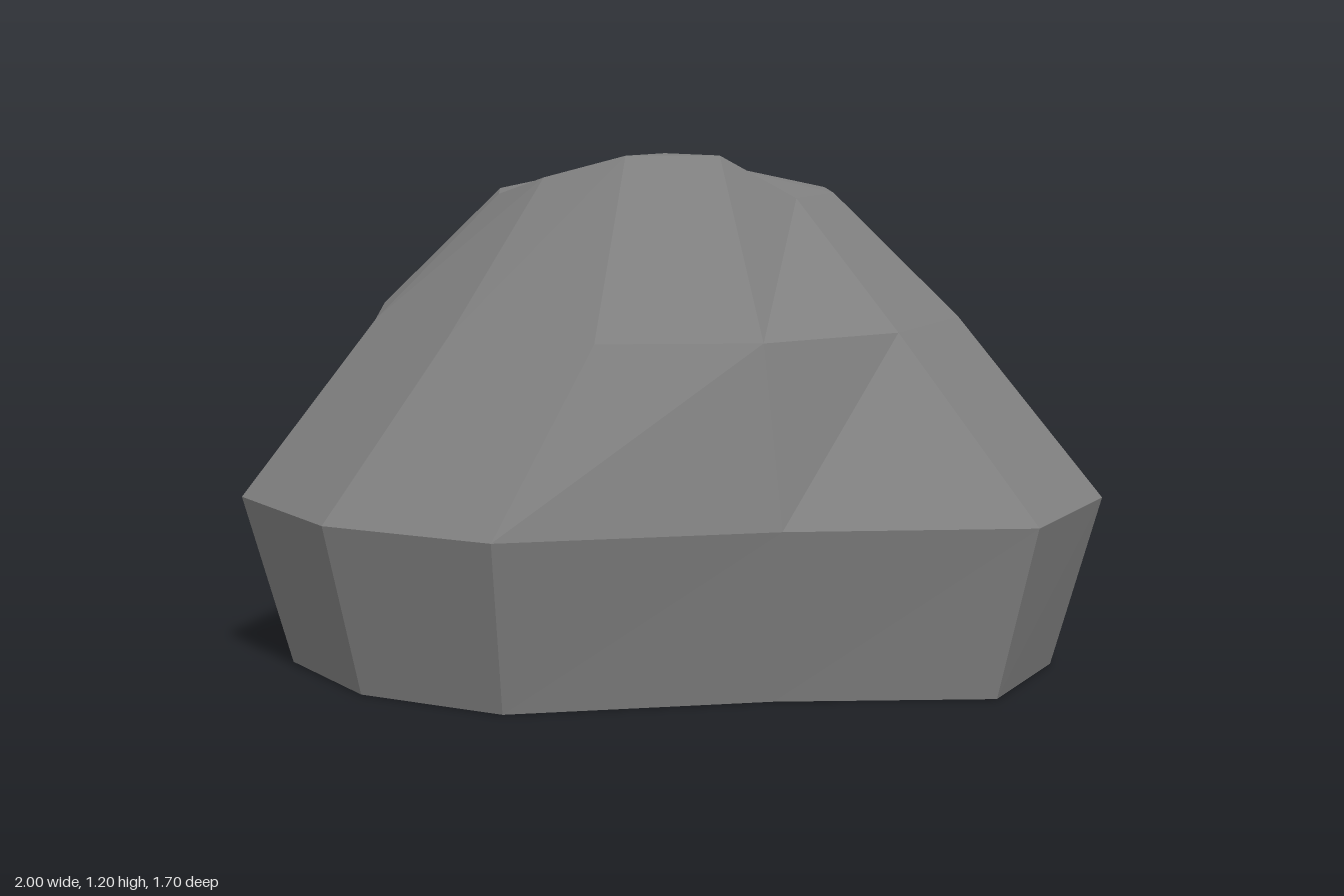
import * as THREE from 'three';

const SIDES = 12;
const CENTRE_Z = -0.05;

// Regular ring of corners, starting just left of the front and running round by the model's left.
function regularRing(radius, heights) {
  return heights.map((y, i) => {
    const a = ((i - 0.5) / SIDES) * Math.PI * 2;
    return [Math.sin(a) * radius, y, CENTRE_Z + Math.cos(a) * radius];
  });
}

const atHeight = (y, points) => points.map(([x, z]) => [x, y, z]);

export function createModel() {
  const group = new THREE.Group();
  group.name = 'boulder';
  const stone = new THREE.MeshStandardMaterial({ color: 0x808080 });
  stone.name = 'stone grey';

  const rings = [
    // foot
    atHeight(0, [[-0.39, 0.745], [0.21, 0.66], [0.71, 0.66], [0.89, 0.34], [0.71, -0.24], [0.7, -0.555],
      [0.37, -0.74], [-0.37, -0.74], [-0.7, -0.555], [-0.71, -0.24], [-0.89, 0.24], [-0.71, 0.555]]),
    // widest, uneven belt
    atHeight(0.4, [[-0.41, 0.845], [0.22, 0.745], [0.785, 0.73], [1, 0.36], [0.8, -0.26], [0.785, -0.64],
      [0.41, -0.85], [-0.41, -0.85], [-0.785, -0.64], [-0.8, -0.26], [-1, 0.26], [-0.785, 0.63]]),
    // shoulder
    regularRing(0.716, Array(SIDES).fill(0.8)),
    // crown, raised at the front and sunk at the back
    regularRing(0.414, [1.195, 1.195, 1.09, 1.09, 1.09, 1.09, 1.0, 1.0, 1.09, 1.09, 1.09, 1.14]),
  ];
  const top = [0, 1.18, CENTRE_Z];
  const bottom = [0, 0, CENTRE_Z];

  const positions = [];
  const tri = (a, b, c) => positions.push(...a, ...b, ...c);
  for (let i = 0; i < SIDES; i++) {
    const j = (i + 1) % SIDES;
    for (let r = 0; r < rings.length - 1; r++) {
      const low = rings[r], high = rings[r + 1];
      tri(low[i], low[j], high[j]);
      tri(low[i], high[j], high[i]);
    }
    tri(rings[3][i], rings[3][j], top);
    tri(rings[0][j], rings[0][i], bottom);
  }

  // Separate corners per face give flat facets
  const geometry = new THREE.BufferGeometry();
  geometry.setAttribute('position', new THREE.Float32BufferAttribute(positions, 3));
  geometry.computeVertexNormals();
  const rock = new THREE.Mesh(geometry, stone);
  rock.name = 'rock';
  group.add(rock);
  return group;
}
